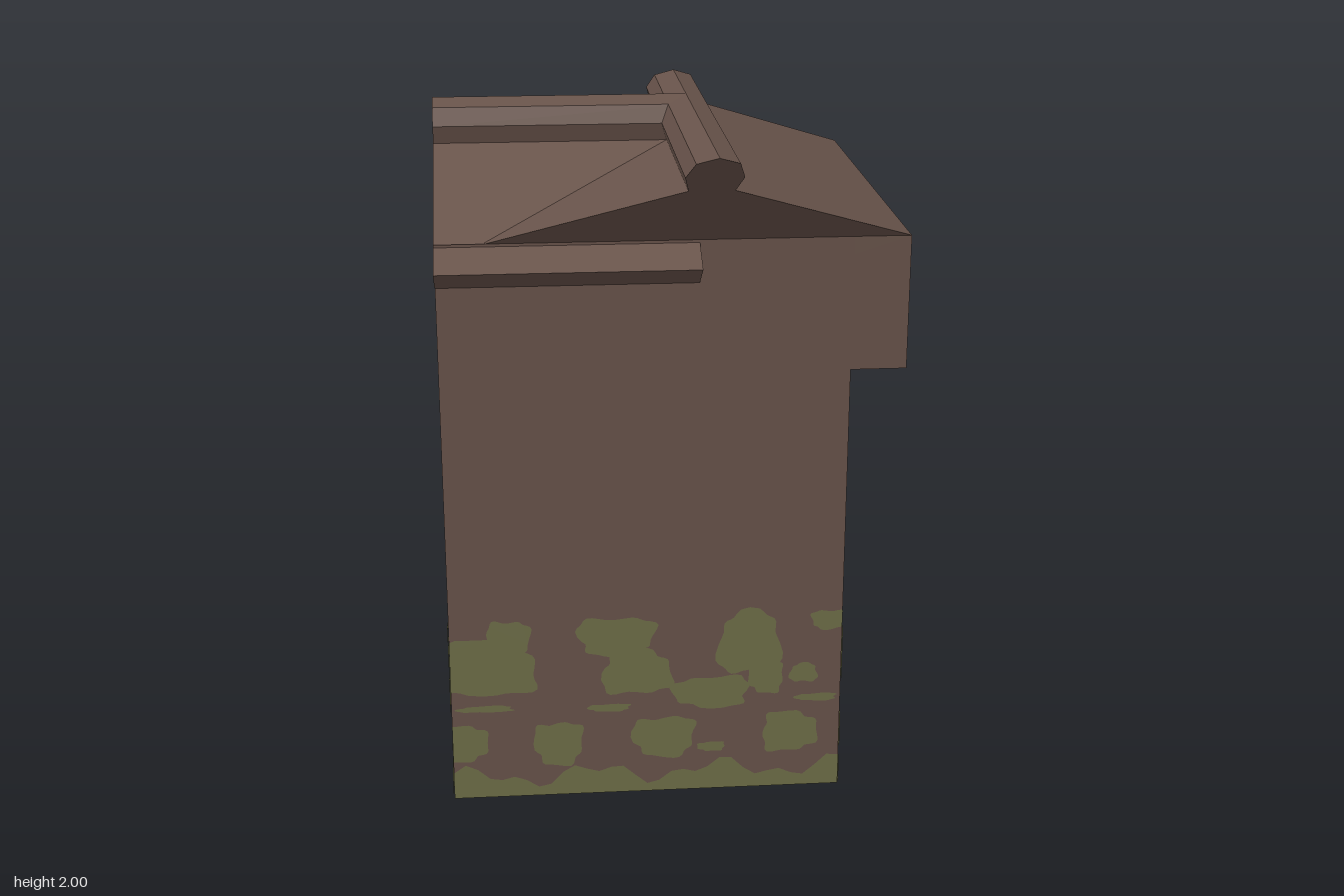
import * as THREE from 'three';

const brown = new THREE.MeshStandardMaterial({ color: 0x68534a, side: THREE.DoubleSide });
brown.name = 'weathered brown';
const green = new THREE.MeshStandardMaterial({ color: 0x6e6e48, side: THREE.DoubleSide });
green.name = 'moss green';

// Moss patches: distance from the wall's left edge, height, half width, half height
const patches = [
  [.09, .42, .16, .09], [.17, .51, .06, .06], [.48, .51, .11, .06], [.54, .39, .1, .07],
  [.87, .47, .09, .1], [.76, .32, .11, .05], [.92, .36, .05, .05], [1.1, .54, .05, .03],
  [1.2, .41, .08, .08], [1.03, .37, .04, .03], [.03, .18, .07, .06], [.31, .17, .07, .07],
  [.62, .18, .09, .065], [.99, .18, .08, .065], [1.25, .19, .08, .05], [.1, .29, .08, .01],
  [.46, .28, .06, .012], [1.07, .29, .06, .012], [.76, .14, .04, .015],
];

// Ragged, boxy patch outline, kept within the wall's width
function patchShape([u, v, a, b], w) {
  const pts = [];
  for (let i = 0; i < 40; i++) {
    const t = i / 40 * Math.PI * 2;
    const r = 1 + .1 * Math.sin(3 * t + u * 40) + .07 * Math.sin(7 * t + v * 60);
    const x = u + a * r * Math.sign(Math.cos(t)) * Math.abs(Math.cos(t)) ** .7;
    const y = v + b * r * Math.sign(Math.sin(t)) * Math.abs(Math.sin(t)) ** .7;
    pts.push(new THREE.Vector2(THREE.MathUtils.clamp(x, 0, w), y));
  }
  return new THREE.Shape(pts);
}

// Uneven mossy strip along the ground
function groundStrip(w) {
  const pts = [new THREE.Vector2(0, 0), new THREE.Vector2(w, 0)];
  for (let i = 32; i >= 0; i--) {
    const u = w * i / 32;
    pts.push(new THREE.Vector2(u, .065 + .025 * Math.sin(u * 17 + .8) + .018 * Math.sin(u * 41)));
  }
  return new THREE.Shape(pts);
}

// Upright wall from one ground corner to another, with moss on both faces
function wall(name, [x0, z0], [x1, z1], height) {
  const g = new THREE.Group();
  g.name = name;
  const w = Math.hypot(x1 - x0, z1 - z0);
  const panel = new THREE.Mesh(new THREE.PlaneGeometry(w, height).translate(w / 2, height / 2, 0), brown);
  panel.name = name + 'Panel';
  g.add(panel);
  const fitting = patches.filter(([u, , a]) => u - a < w - .03);
  const mossGeo = new THREE.ShapeGeometry([groundStrip(w), ...fitting.map(p => patchShape(p, w))]);
  for (const side of [1, -1]) {
    const moss = new THREE.Mesh(mossGeo, green);
    moss.name = name + 'Moss';
    moss.position.z = side * .003;
    g.add(moss);
  }
  g.position.set(x0, 0, z0);
  g.rotation.y = Math.atan2(z0 - z1, x1 - x0);
  return g;
}

// Gable outline with a rounded ridge roll, mirrored about its centre
function roofShape(eaves) {
  const right = [...eaves, [.06, 1.88], [.075, 1.93], [.055, 1.98]];
  const left = right.map(([x, y]) => [-x, y]).reverse();
  return new THREE.Shape([...right, [0, 2], ...left].map(p => new THREE.Vector2(...p)));
}

export function createModel() {
  const model = new THREE.Group();
  model.name = 'house';

  // Two interlocking open-bottomed bodies
  model.add(
    wall('frontWall', [-.65, .41], [.49, .41], 1.68),
    wall('leftWall', [.49, .41], [.49, -.88], 1.68),
    wall('backWall', [.49, -.88], [-.36, -.88], 1.68),
    wall('rightWall', [-.36, -.88], [-.36, .41], 1.68),
    wall('wingEndWall', [-.65, -.44], [-.65, .41], 1.57),
    wall('wingBackWall', [.07, -.44], [-.65, -.44], 1.57),
    wall('wingInnerWall', [.07, .41], [.07, -.44], 1.57),
  );

  // Overhanging upper storey
  const overhang = new THREE.Mesh(new THREE.BoxGeometry(1.16, .38, 1.29), brown);
  overhang.name = 'overhang';
  overhang.position.set(.067, 1.49, -.235);
  model.add(overhang);

  // Main roof, leaning forward toward its ridge
  const mainGeo = new THREE.ExtrudeGeometry(roofShape([[.58, 1.68]]), { depth: 1.29, bevelEnabled: false });
  const pos = mainGeo.attributes.position;
  for (let i = 0; i < pos.count; i++) pos.setZ(i, pos.getZ(i) + (pos.getY(i) - 1.68) * 1.44);
  mainGeo.computeVertexNormals();
  const mainRoof = new THREE.Mesh(mainGeo, brown);
  mainRoof.name = 'mainRoof';
  mainRoof.position.set(.067, 0, -.88);
  model.add(mainRoof);

  // Upright cross-wing roof with pointed eaves
  const wingGeo = new THREE.ExtrudeGeometry(roofShape([[.425, 1.56], [.515, 1.62]]), { depth: .718, bevelEnabled: false });
  const wingRoof = new THREE.Mesh(wingGeo, brown);
  wingRoof.name = 'wingRoof';
  wingRoof.rotation.y = -Math.PI / 2;
  wingRoof.position.set(.067, 0, -.014);
  model.add(wingRoof);

  return model;
}
